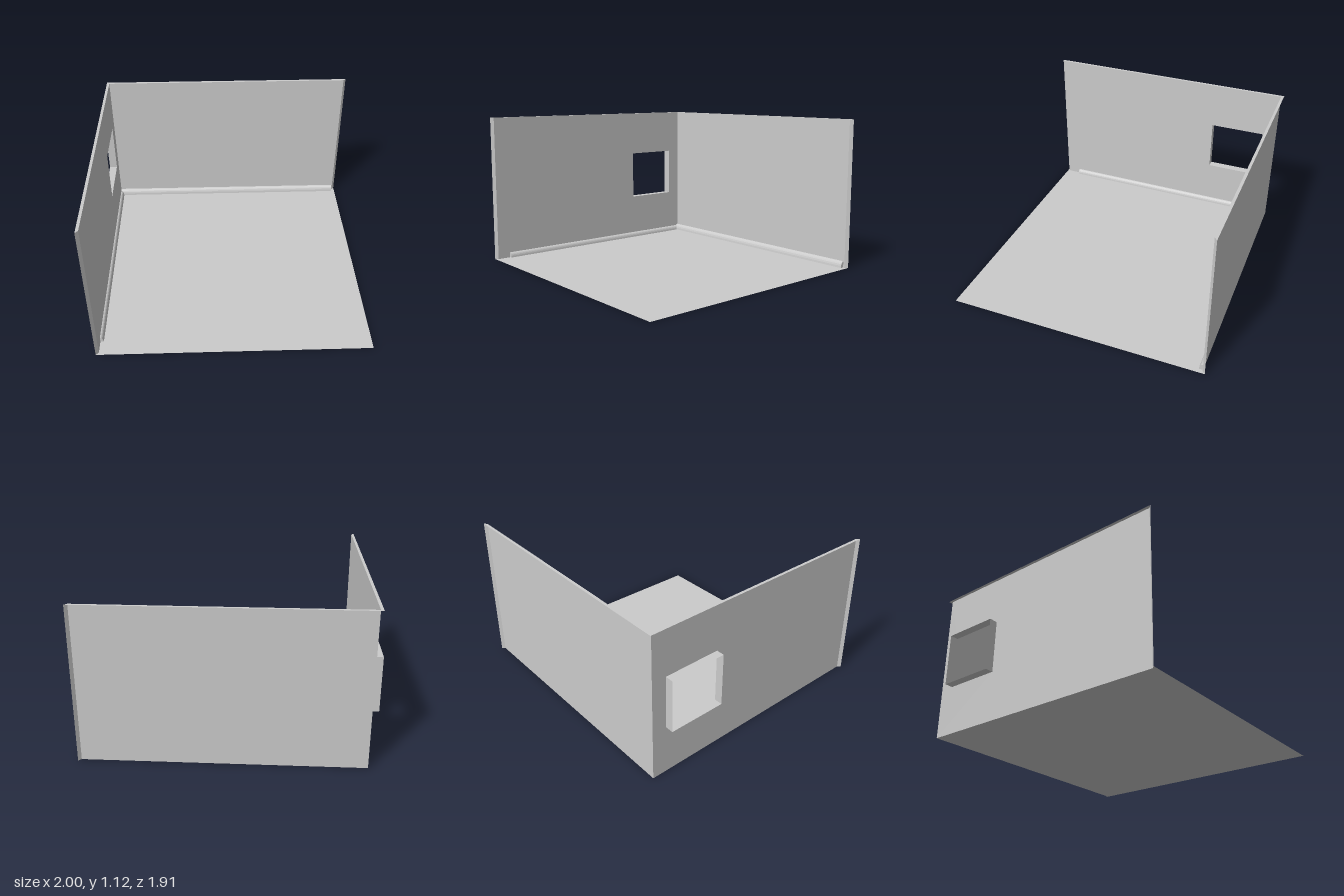
import * as THREE from 'three';

const material = new THREE.MeshStandardMaterial({ color: 0xcccccc, side: THREE.DoubleSide, flatShading: true });

// inner faces of the two walls, their outer limits, and the open ends
const IN = { x0: -0.94, x1: 0.98, z0: -0.935, z1: 0.935 };
const OUT = { x0: -0.96, x1: 1, z0: -0.955, z1: 0.955 };
const H = 1.115;
const WINDOW = { z0: -0.827, z1: -0.407, y0: 0.367, y1: 0.758 };

const polygon = (points) => new THREE.Shape(points.map(([a, b]) => new THREE.Vector2(a, b)));
const rectangle = (a0, b0, a1, b1) => [[a0, b0], [a1, b0], [a1, b1], [a0, b1]];

export function createModel() {
  const group = new THREE.Group();
  const add = (name, geometry, x = 0, y = 0, z = 0) => {
    const mesh = new THREE.Mesh(geometry, material);
    mesh.name = name;
    mesh.position.set(x, y, z);
    group.add(mesh);
    return mesh;
  };
  // flat sheet outlined in x and z
  const level = (points) => new THREE.ShapeGeometry(polygon(points)).rotateX(Math.PI / 2);

  // floor sheet, following the mitred wall ends
  add('floor', level([
    [IN.x0, IN.z0], [IN.x0, IN.z1], [OUT.x0, OUT.z1],
    [OUT.x1, OUT.z1], [OUT.x1, OUT.z0], [IN.x1, IN.z0],
  ]));

  // back wall sheet
  add('backWall', new THREE.ShapeGeometry(polygon(rectangle(IN.x0, 0, IN.x1, H))), 0, 0, IN.z0);

  // side wall sheet with window opening
  const side = polygon(rectangle(IN.z0, 0, IN.z1, H));
  side.holes.push(polygon(rectangle(WINDOW.z0, WINDOW.y0, WINDOW.z1, WINDOW.y1).reverse()));
  add('sideWall', new THREE.ShapeGeometry(side).rotateY(-Math.PI / 2), IN.x0);

  // L-shaped lip along the top of both walls
  add('topLip', level([
    [OUT.x0, OUT.z1], [IN.x0, IN.z1], [IN.x0, IN.z0],
    [IN.x1, IN.z0], [OUT.x1, OUT.z0], [OUT.x0, OUT.z0],
  ]), 0, H);

  // diagonal lips on the free wall ends
  const endLip = (name, x0, z0, x1, z1) => {
    const lip = add(name, new THREE.PlaneGeometry(Math.hypot(x1 - x0, z1 - z0), H),
      (x0 + x1) / 2, H / 2, (z0 + z1) / 2);
    lip.rotation.y = -Math.atan2(z1 - z0, x1 - x0);
  };
  endLip('backWallEndLip', IN.x1, IN.z0, OUT.x1, OUT.z0);
  endLip('sideWallEndLip', IN.x0, IN.z1, OUT.x0, OUT.z1);

  // window reveal: four thin sheets projecting outwards
  const depth = 1 + IN.x0;
  const cx = IN.x0 - depth / 2;
  const cy = (WINDOW.y0 + WINDOW.y1) / 2, cz = (WINDOW.z0 + WINDOW.z1) / 2;
  for (const y of [WINDOW.y0, WINDOW.y1]) {
    add('windowReveal', new THREE.PlaneGeometry(depth, WINDOW.z1 - WINDOW.z0).rotateX(-Math.PI / 2), cx, y, cz);
  }
  for (const z of [WINDOW.z0, WINDOW.z1]) {
    add('windowReveal', new THREE.PlaneGeometry(depth, WINDOW.y1 - WINDOW.y0), cx, cy, z);
  }

  // rounded skirting along the foot of each wall
  const skirting = (width, height, length) => {
    const profile = new THREE.Shape();
    profile.moveTo(0, 0);
    profile.lineTo(width, 0);
    profile.quadraticCurveTo(width * 0.9, height * 0.9, 0, height);
    profile.closePath();
    return new THREE.ExtrudeGeometry(profile, { depth: length, bevelEnabled: false, curveSegments: 5 });
  };
  add('sideSkirting', skirting(0.025, 0.038, 0.835 - IN.z0), IN.x0, 0.002, IN.z0);
  add('backSkirting', skirting(0.03, 0.048, 0.97 - IN.x0).rotateY(-Math.PI / 2), 0.97, 0.002, IN.z0);

  return group;
}
